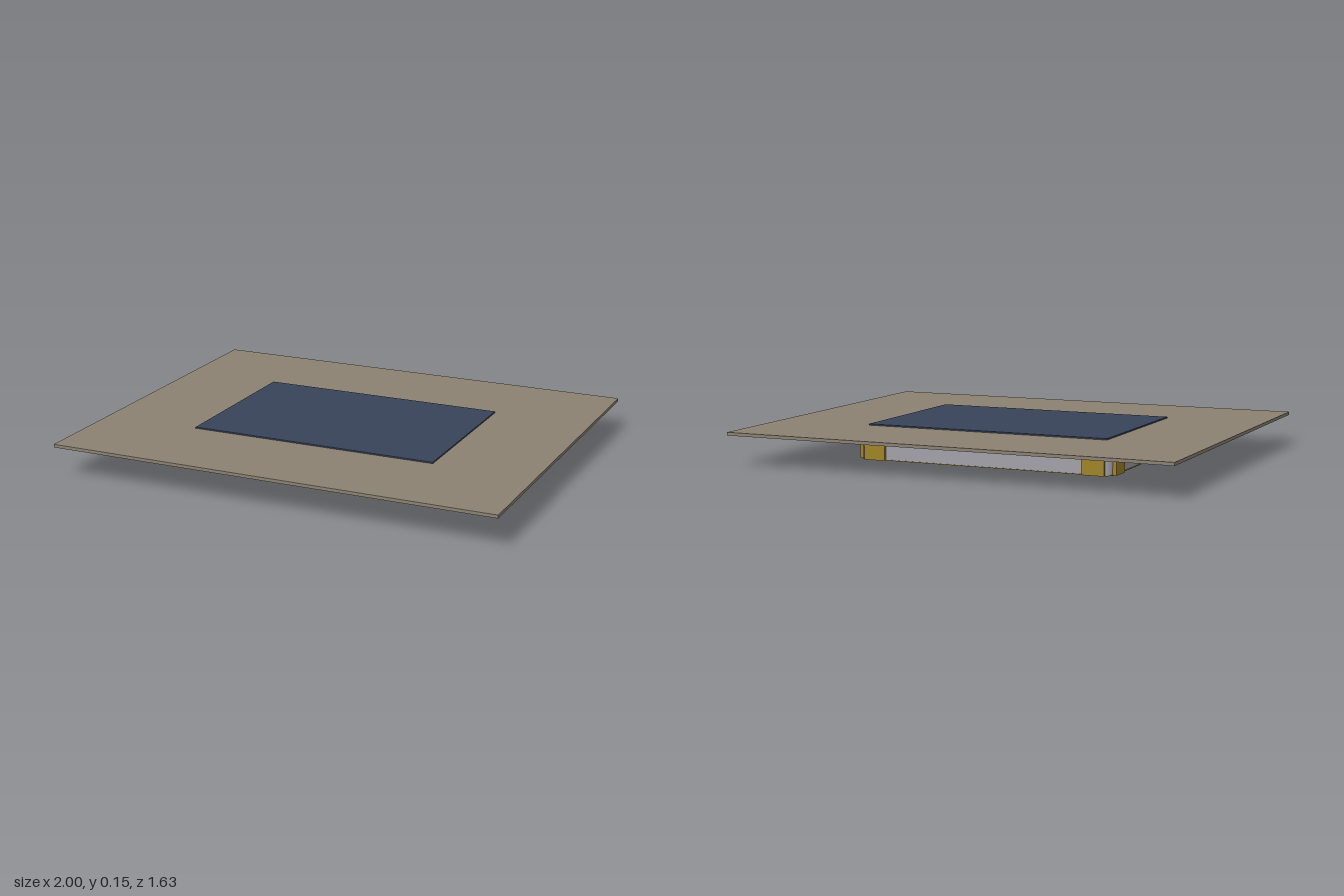
import * as THREE from 'three';

const mat = (color) => new THREE.MeshStandardMaterial({ color, flatShading: true });

// Rectangle outline with rounded corners, half sizes hx and hz
function roundedRect(hx, hz, r) {
  const s = new THREE.Shape();
  s.moveTo(-hx + r, -hz);
  s.lineTo(hx - r, -hz);
  s.absarc(hx - r, -hz + r, r, -Math.PI / 2, 0);
  s.lineTo(hx, hz - r);
  s.absarc(hx - r, hz - r, r, 0, Math.PI / 2);
  s.lineTo(-hx + r, hz);
  s.absarc(-hx + r, hz - r, r, Math.PI / 2, Math.PI);
  s.lineTo(-hx, -hz + r);
  s.absarc(-hx + r, -hz + r, r, Math.PI, Math.PI * 1.5);
  return s;
}

export function createModel() {
  const group = new THREE.Group();
  const tan = mat(0x8c8272), navy = mat(0x38445a), gold = mat(0xa08428);
  const silver = mat(0xa3a2aa), steel = mat(0x85878c);

  function box(name, material, hx, hz, y0, y1, x = 0, z = 0) {
    const mesh = new THREE.Mesh(new THREE.BoxGeometry(hx * 2, y1 - y0, hz * 2), material);
    mesh.position.set(x, (y0 + y1) / 2, z);
    mesh.name = name;
    group.add(mesh);
  }

  function slab(name, material, shape, y0, y1) {
    const geo = new THREE.ExtrudeGeometry(shape, { depth: y1 - y0, bevelEnabled: false, curveSegments: 5 });
    geo.rotateX(-Math.PI / 2);
    const mesh = new THREE.Mesh(geo, material);
    mesh.position.y = y0;
    mesh.name = name;
    group.add(mesh);
  }

  // Wide mounting plate with the dark panel on top
  box('mountingPlate', tan, 1, 0.815, 0.132, 0.146);
  box('topPanel', navy, 0.557, 0.376, 0.146, 0.152);

  // Stepped housing below the plate
  slab('frameTop', gold, roundedRect(0.595, 0.41, 0.03), 0.112, 0.132);
  slab('upperHousing', steel, roundedRect(0.57, 0.388, 0.03), 0.065, 0.112);
  slab('lowerHousing', silver, roundedRect(0.587, 0.403, 0.04), 0.002, 0.065);

  // Bottom rim of the frame, open in the middle
  const rim = roundedRect(0.59, 0.405, 0.04);
  rim.holes.push(roundedRect(0.45, 0.275, 0.002));
  slab('frameBottomRim', gold, rim, 0, 0.003);

  // Pairs of clips wrapping the housing beside each corner
  for (const sx of [-1, 1]) {
    for (const sz of [-1, 1]) {
      box('longSideClip', gold, 0.05, 0.016, 0, 0.132, sx * 0.509, sz * 0.399);
      box('shortSideClip', gold, 0.016, 0.05, 0, 0.132, sx * 0.584, sz * 0.328);
    }
  }
  return group;
}
